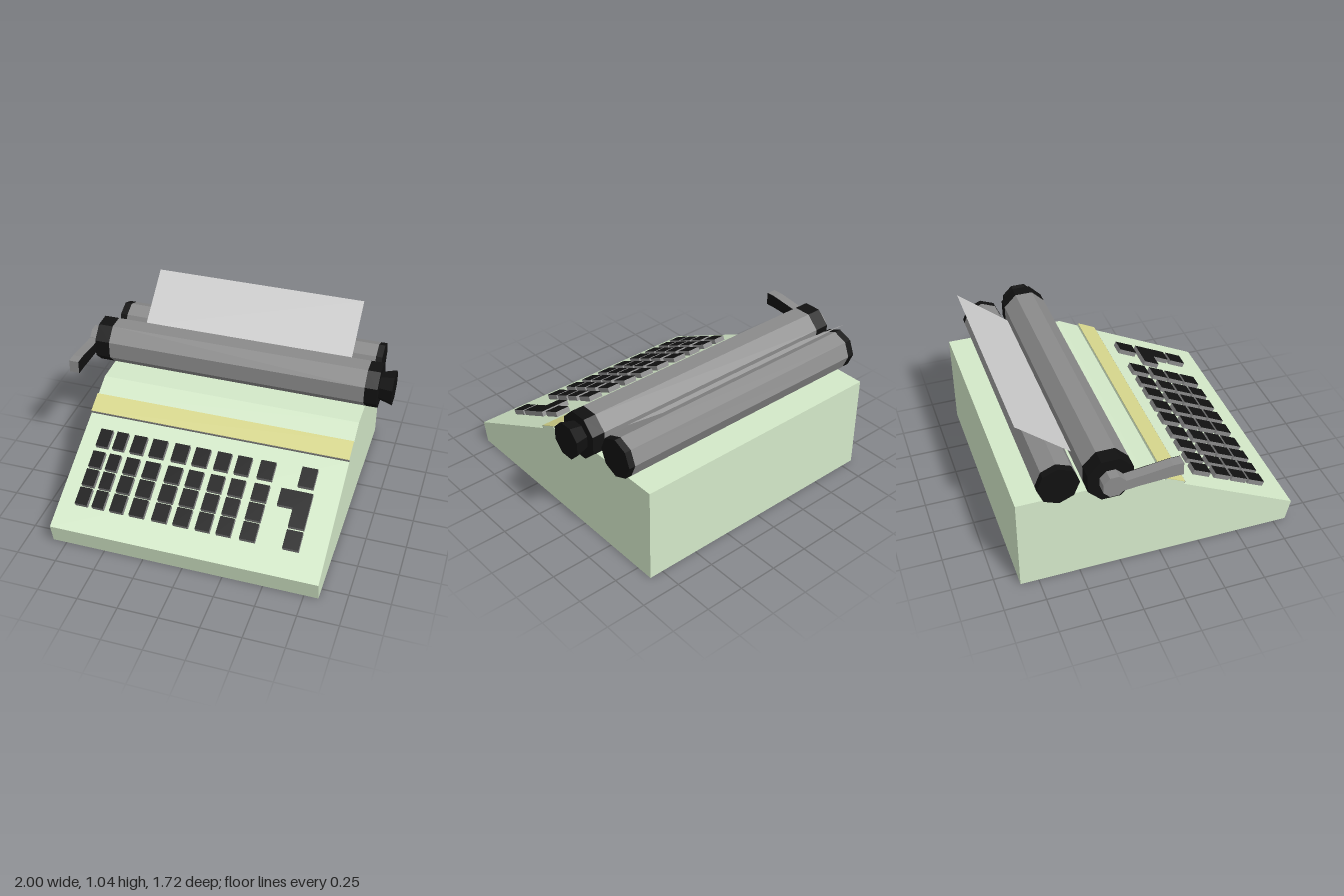
import * as THREE from 'three';

const mat = (color) => new THREE.MeshStandardMaterial({ color, flatShading: true, side: THREE.DoubleSide });

export function createModel() {
  const model = new THREE.Group();
  const green = mat(0xd3e8c8), yellow = mat(0xd6d68c), grey = mat(0x8a8a8a);
  const black = mat(0x111111), paperMat = mat(0xcccccc);

  const add = (name, geometry, material, parent = model) => {
    const mesh = new THREE.Mesh(geometry, material);
    mesh.name = name;
    parent.add(mesh);
    return mesh;
  };
  const shapeOf = (pts) => new THREE.Shape(pts.map(([a, b]) => new THREE.Vector2(a, b)));

  // Side profile of [z, y] points, swept from x0 up to x1
  const sweep = (pts, x0, x1) =>
    new THREE.ExtrudeGeometry(shapeOf(pts), { depth: x1 - x0, bevelEnabled: false })
      .rotateY(-Math.PI / 2).translate(x1, 0, 0);

  // Eight-sided bar along x, with a radius at each end
  const bar = (x0, x1, r0, r1, y, z, turn = 0) =>
    new THREE.CylinderGeometry(r1, r0, x1 - x0, 8, 1, false, turn)
      .rotateZ(-Math.PI / 2).translate((x0 + x1) / 2, y, z);

  // Wedge-shaped case with a step at the strip
  add('case', sweep([
    [0.83, 0], [0.86, 0.132], [0.14, 0.487], [0.145, 0.503], [0.03, 0.56],
    [0.025, 0.546], [-0.1, 0.61], [-0.86, 0.61], [-0.86, 0],
  ], -0.837, 0.837), green);
  add('strip', sweep([
    [0.145, 0.503], [0.146, 0.506], [0.031, 0.563], [0.03, 0.56],
  ], -0.837, 0.837), yellow);
  add('stripGroove', sweep([
    [0.14, 0.487], [0.143, 0.488], [0.148, 0.503], [0.145, 0.503],
  ], -0.837, 0.837), grey);

  // Keyboard lies on the slope: local -z runs up it
  const tilt = Math.atan2(0.355, 0.72);
  const keyboard = new THREE.Group();
  keyboard.name = 'keyboard';
  keyboard.position.set(0, 0.132, 0.86);
  keyboard.rotation.x = tilt;
  model.add(keyboard);

  const up = (z) => (0.86 - z) / Math.cos(tilt);
  const key = (name, pts) => add(name,
    new THREE.ExtrudeGeometry(shapeOf(pts.map(([x, z]) => [x, up(z)])), { depth: 0.032, bevelEnabled: false })
      .rotateX(-Math.PI / 2), [black, grey], keyboard);
  const boxKey = (name, x0, x1, z0, z1) => key(name, [[x0, z1], [x1, z1], [x1, z0], [x0, z0]]);

  const columns = [
    [-0.725, -0.645], [-0.615, -0.54], [-0.5, -0.415], [-0.375, -0.28], [-0.23, -0.135],
    [-0.095, 0], [0.045, 0.135], [0.175, 0.265], [0.32, 0.415],
  ];
  const rows = [[0.24, 0.347], [0.38, 0.477], [0.493, 0.592], [0.606, 0.708]];
  for (const [x0, x1] of columns)
    for (const [z0, z1] of rows) boxKey('key', x0, x1, z0, z1);

  // Side column of keys, with the L-shaped return key
  boxKey('upperSideKey', 0.575, 0.672, 0.232, 0.347);
  boxKey('lowerSideKey', 0.582, 0.68, 0.602, 0.708);
  key('returnKey', [
    [0.582, 0.585], [0.68, 0.585], [0.68, 0.378], [0.485, 0.378], [0.485, 0.477], [0.582, 0.477],
  ]);

  // Front roller with end caps and a flared knob
  const fy = 0.744, fz = -0.338, fr = 0.144, turn = Math.PI / 8;
  add('frontRoller', bar(-0.84, 0.835, fr, fr, fy, fz, turn), grey);
  add('rollerCap', bar(-0.935, -0.84, fr, fr, fy, fz, turn), black);
  add('rollerCap', bar(0.835, 0.915, fr, fr, fy, fz, turn), black);
  add('rollerKnob', bar(0.915, 1, 0.088, 0.112, fy, fz, turn), black);

  // Rear roller with end caps
  const ry = 0.732, rz = -0.622, rr = 0.123;
  add('rearRoller', bar(-0.84, 0.84, rr, rr, ry, rz), grey);
  add('rearRollerCap', bar(-0.885, -0.84, rr, rr, ry, rz), black);
  add('rearRollerCap', bar(0.84, 0.88, rr, rr, ry, rz), black);

  // Return lever on its hub, with a dark inner face
  const lever = [
    [-0.34, 0.695], [-0.2, 0.71], [0, 0.72], [0.063, 0.72],
    [0.063, 0.802], [0, 0.802], [-0.2, 0.777], [-0.34, 0.76],
  ];
  add('leverHub', bar(-1, -0.935, 0.071, 0.071, fy, fz, turn), grey);
  add('lever', sweep(lever, -1, -0.938), grey);
  add('leverInnerFace', sweep(lever, -0.938, -0.935), black);

  // Sheet of paper leaning back from the front roller
  const top = [1.045, -0.8], foot = [0.79, -0.49];
  const dy = top[0] - foot[0], dz = top[1] - foot[1];
  const paper = add('paper', new THREE.PlaneGeometry(1.385, Math.hypot(dy, dz)), paperMat);
  paper.position.set(0, (top[0] + foot[0]) / 2, (top[1] + foot[1]) / 2);
  paper.rotation.x = Math.atan2(dz, dy);

  return model;
}
